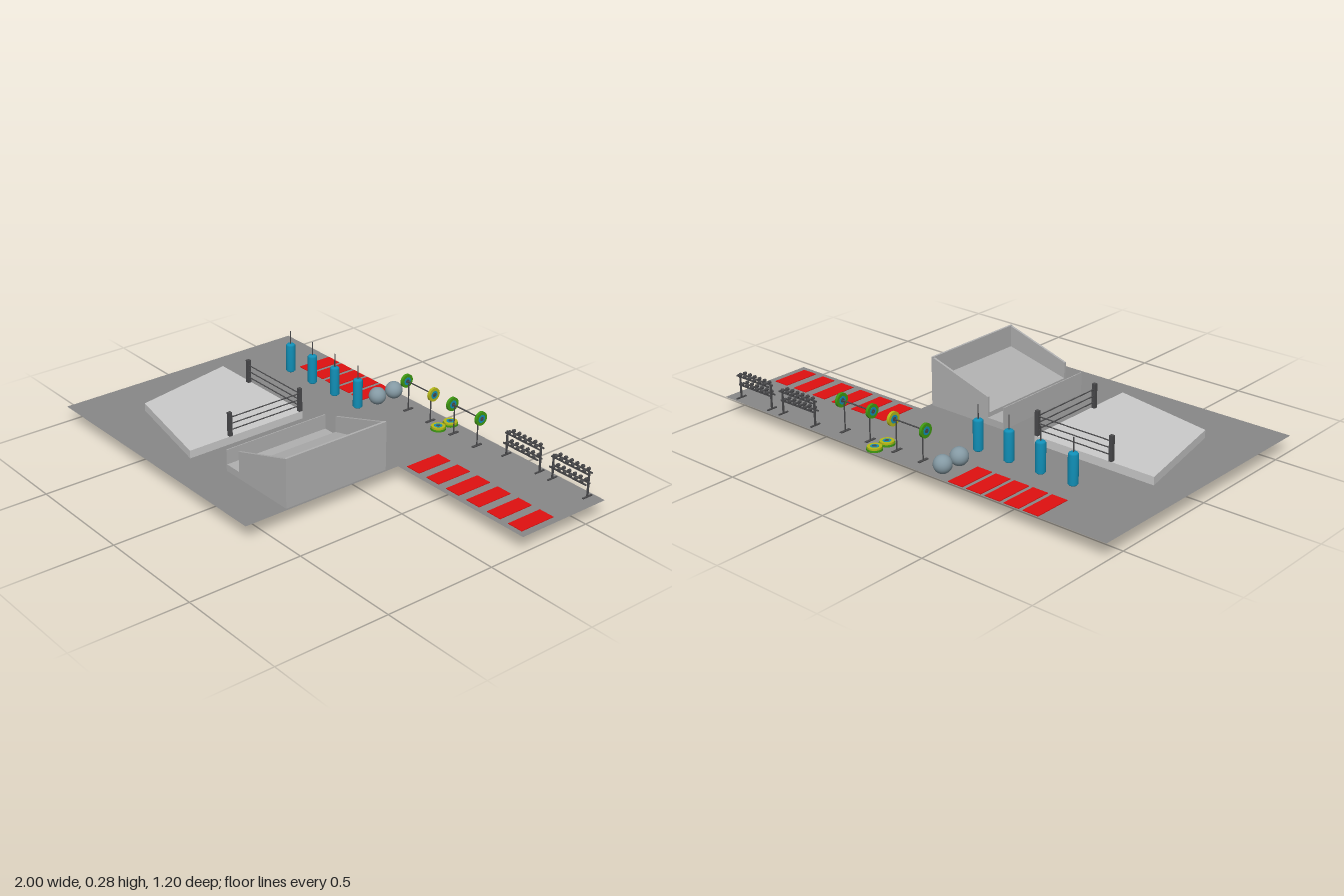
import * as THREE from 'three';

const FLOOR = 0.07;
const material = (color) => new THREE.MeshStandardMaterial({ color, side: THREE.DoubleSide });
const mats = {
  pale: material(0xcccccc), floor: material(0x888888), wall: material(0xb0b0b0),
  dark: material(0x4a4a4c), red: material(0xe01010), blue: material(0x1190b8),
  ball: material(0x8499a3), green: material(0x3f9a12), yellow: material(0xb5b818),
};

function add(parent, name, geometry, mat, x = 0, y = 0, z = 0) {
  const mesh = new THREE.Mesh(geometry, mat);
  mesh.name = name;
  mesh.position.set(x, y, z);
  parent.add(mesh);
  return mesh;
}
function group(parent, name, x = 0, y = 0, z = 0) {
  const g = new THREE.Group();
  g.name = name;
  g.position.set(x, y, z);
  parent.add(g);
  return g;
}
const box = (w, h, d) => new THREE.BoxGeometry(w, h, d);
const rodX = (r, length, sides = 8) => new THREE.CylinderGeometry(r, r, length, sides).rotateZ(Math.PI / 2);
const outline = (points) => new THREE.Shape(points.map(([x, y]) => new THREE.Vector2(x, y)));
// plan outlines are given as [x, z]
const plan = (points) => outline(points.map(([x, z]) => [x, -z]));

// Stepped bumper plate lying on its side, axis along y
function addPlate(parent, name, radius, thickness, rim) {
  const g = group(parent, name);
  add(g, 'plateRim', new THREE.CylinderGeometry(radius, radius, thickness, 24), rim);
  add(g, 'plateRing', new THREE.CylinderGeometry(radius * 0.58, radius * 0.58, thickness * 1.15, 24), mats.blue);
  add(g, 'plateHub', new THREE.CylinderGeometry(radius * 0.3, radius * 0.3, thickness * 1.3, 16), mats.dark);
  return g;
}

// Sunken seating enclosure with a sloped floor
function addEnclosure(parent) {
  const g = group(parent, 'enclosure');
  const t = 0.01;
  const side = outline([[-0.02, FLOOR], [0.285, FLOOR], [0.285, 0.285], [-0.02, 0.19]]);
  for (const z of [-0.1, 0.4 - t]) {
    add(g, 'sideWall', new THREE.ExtrudeGeometry(side, { depth: t, bevelEnabled: false }), mats.wall, 0, 0, z);
  }
  for (const z of [-0.1, 0.4]) {
    add(g, 'ledgeEnd', new THREE.PlaneGeometry(0.08, 0.1), mats.wall, -0.06, 0.05, z);
  }
  add(g, 'backWall', box(t, 0.215, 0.5), mats.wall, 0.28, 0.1775, 0.15);
  add(g, 'lowWall', box(0.004, 0.095, 0.5), mats.wall, -0.102, 0.1175, 0.15);
  add(g, 'ledge', box(0.08, 0.03, 0.5), mats.wall, -0.06, 0.085, 0.15);
  const ramp = outline([[-0.02, FLOOR], [0.275, FLOOR], [0.275, 0.19], [-0.02, 0.12]]);
  add(g, 'ramp', new THREE.ExtrudeGeometry(ramp, { depth: 0.48, bevelEnabled: false }), mats.wall, 0, 0, -0.09);
}

// Raised platform with corner posts and ropes along two sides
function addRing(parent) {
  const g = group(parent, 'ring');
  const shape = plan([[-0.855, -0.12], [-0.28, -0.12], [-0.28, 0.455], [-0.757, 0.36]]);
  const deck = new THREE.ExtrudeGeometry(shape, { depth: 0.045, bevelEnabled: false }).rotateX(-Math.PI / 2);
  add(g, 'platform', deck, mats.pale, 0, 0.06, 0);
  for (const [x, z] of [[-0.65, -0.112], [-0.288, -0.112], [-0.288, 0.25]]) {
    add(g, 'post', box(0.016, 0.107, 0.016), mats.dark, x, 0.158, z);
  }
  for (const y of [0.13, 0.158, 0.187]) {
    add(g, 'backRope', rodX(0.0025, 0.362), mats.dark, -0.469, y, -0.112);
    add(g, 'sideRope', rodX(0.0025, 0.362).rotateY(Math.PI / 2), mats.dark, -0.288, y, 0.069);
  }
}

// Punch bag with a hanging rod
function addBag(parent, x) {
  const g = group(parent, 'punchBag', x, 0, -0.345);
  const profile = [[0, 0.088], [0.014, 0.09], [0.021, 0.097], [0.021, 0.216], [0.017, 0.222], [0, 0.224]];
  add(g, 'bagBody', new THREE.LatheGeometry(profile.map(([r, y]) => new THREE.Vector2(r, y)), 24), mats.blue);
  add(g, 'bagRod', new THREE.CylinderGeometry(0.0025, 0.0025, 0.062, 8), mats.dark, 0, 0.253, 0);
}

// Barbell resting on two slim stands
function addBarbell(parent, x, rims) {
  const g = group(parent, 'barbell', x, 0, -0.523);
  add(g, 'bar', rodX(0.003, 0.195), mats.dark, 0, 0.203, 0);
  [-1, 1].forEach((s, i) => {
    const plate = addPlate(g, 'barbellPlate', 0.03, 0.012, rims[i]);
    plate.rotation.z = Math.PI / 2;
    plate.position.set(s * 0.085, 0.203, 0);
    add(g, 'standPost', box(0.004, 0.13, 0.004), mats.dark, s * 0.07, 0.136, 0);
    add(g, 'standFoot', box(0.012, 0.004, 0.05), mats.dark, s * 0.07, 0.073, 0);
  });
}

// Two-shelf rack carrying dumbbells
function addRack(parent, x) {
  const g = group(parent, 'dumbbellRack', x, 0, -0.563);
  for (const s of [-1, 1]) {
    add(g, 'rackLeg', box(0.006, 0.11, 0.007), mats.dark, s * 0.094, 0.126, 0);
    add(g, 'rackFoot', box(0.007, 0.005, 0.05), mats.dark, s * 0.094, 0.073, 0);
  }
  for (const [y, z] of [[0.131, 0.006], [0.174, -0.003]]) {
    for (const dz of [-0.011, 0.011]) {
      add(g, 'shelfRail', box(0.196, 0.006, 0.005), mats.dark, 0, y, z + dz);
    }
    for (let i = 0; i < 6; i++) {
      const d = group(g, 'dumbbell', (i - 2.5) * 0.03, y + 0.008, z);
      add(d, 'handle', new THREE.CylinderGeometry(0.002, 0.002, 0.036, 6).rotateX(Math.PI / 2), mats.dark);
      for (const s of [-1, 1]) {
        add(d, 'head', new THREE.CylinderGeometry(0.007, 0.007, 0.011, 8).rotateX(Math.PI / 2), mats.dark, 0, 0, s * 0.014);
      }
    }
  }
}

export function createModel() {
  const model = new THREE.Group();
  model.name = 'gym';

  // L-shaped floor
  const floorShape = plan([[-1, -0.6], [1, -0.6], [1, -0.157], [0.295, -0.157], [0.295, 0.6], [-1, 0.6]]);
  add(model, 'floor', new THREE.ShapeGeometry(floorShape).rotateX(-Math.PI / 2), mats.floor, 0, FLOOR, 0);

  addEnclosure(model);
  addRing(model);

  // Exercise mats in two rows
  for (let i = 0; i < 5; i++) add(model, 'mat', box(0.072, 0.003, 0.168), mats.red, -0.655 + i * 0.091, 0.0715, -0.512);
  for (let i = 0; i < 6; i++) add(model, 'mat', box(0.072, 0.003, 0.168), mats.red, 0.357 + i * 0.115, 0.0715, -0.266);

  for (let i = 0; i < 4; i++) addBag(model, -0.65 + i * 0.155);
  for (const z of [-0.553, -0.46]) add(model, 'exerciseBall', new THREE.SphereGeometry(0.038, 32, 20), mats.ball, -0.19, 0.108, z);

  addBarbell(model, 0.01, [mats.green, mats.yellow]);
  addBarbell(model, 0.295, [mats.green, mats.green]);

  // Spare plates stacked on the floor
  for (const z of [-0.571, -0.502]) {
    const stack = group(model, 'plateStack', 0.153, 0, z);
    [[0.033, mats.green], [0.03, mats.yellow]].forEach(([r, rim], i) => {
      addPlate(stack, 'sparePlate', r, 0.008, rim).position.y = 0.075 + i * 0.008;
    });
  }

  for (const x of [0.59, 0.848]) addRack(model, x);
  return model;
}
